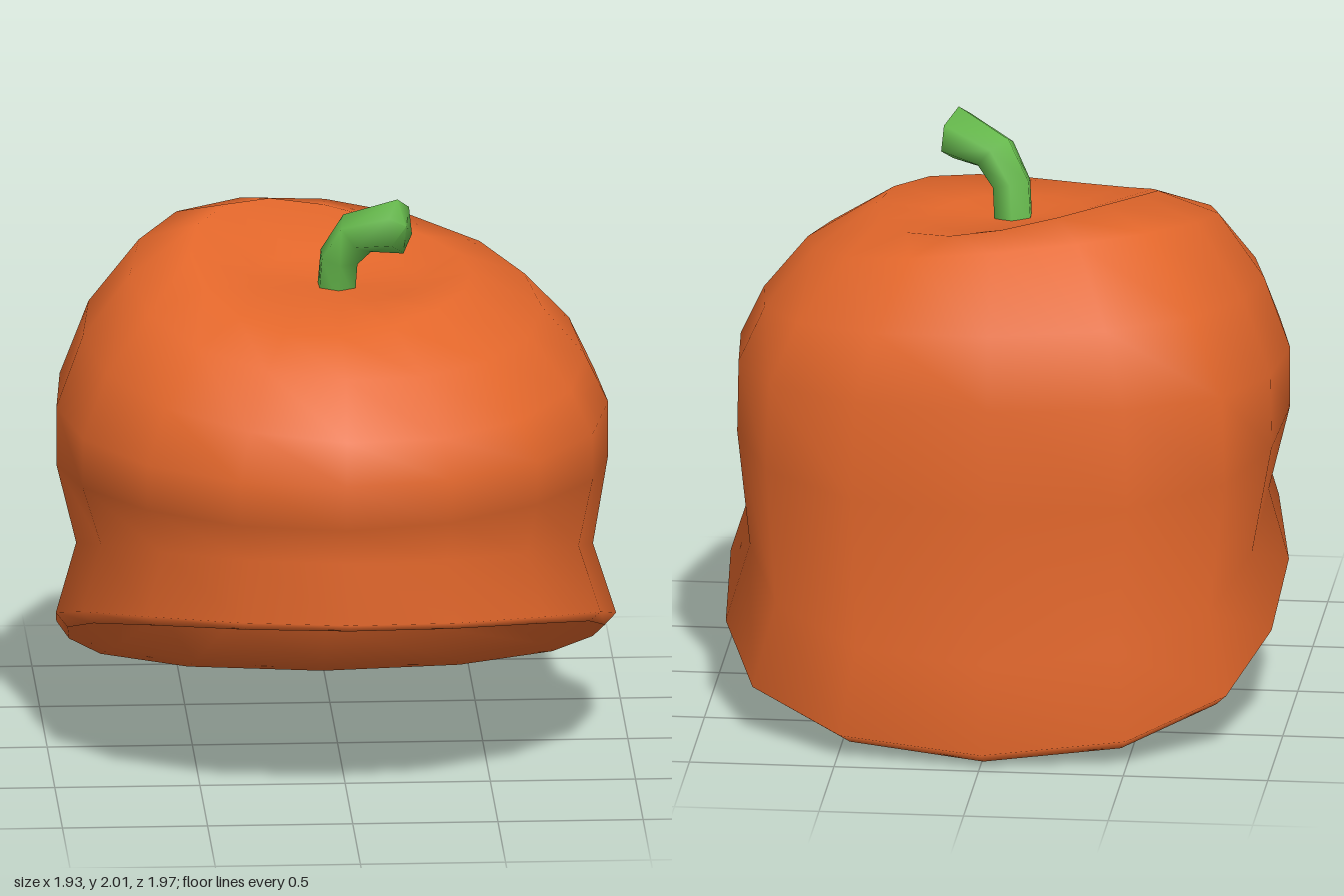
import * as THREE from 'three';

// Skins a list of closed rings of points with smooth normals
function loft(rings) {
  const n = rings[0].length, pos = [], index = [];
  rings.forEach(ring => ring.forEach(p => pos.push(p.x, p.y, p.z)));
  for (let i = 0; i < rings.length - 1; i++) {
    for (let j = 0; j < n; j++) {
      const k = (j + 1) % n, a = i * n + j, b = i * n + k;
      index.push(a, b, a + n, b, b + n, a + n);
    }
  }
  const geo = new THREE.BufferGeometry();
  geo.setAttribute('position', new THREE.Float32BufferAttribute(pos, 3));
  geo.setIndex(index);
  geo.computeVertexNormals();
  return geo;
}

// Tilted oval ring through its front, back, -x and +x extremes;
// full squares off the back corners, twist lifts the back left over the back right
function ovalRing([zF, yF, zB, yB, xL, yL, xR, yR, full = 0, twist = 0], sides = 16) {
  const mid = (yL + yR) / 2;
  return Array.from({ length: sides }, (_, j) => {
    const t = j / sides * Math.PI * 2, s = Math.sin(t), c = Math.cos(t);
    const wide = c < 0 ? s * (1 + full * c * c) : s;
    return new THREE.Vector3(
      (xL + xR) / 2 + (xR - xL) / 2 * wide,
      mid + (yR - yL) / 2 * s + (yF - yB) / 2 * c + ((yF + yB) / 2 - mid) * c * c + twist * 2 * s * c,
      (zF + zB) / 2 + (zF - zB) / 2 * c);
  });
}

export function createModel() {
  const group = new THREE.Group();
  const orange = new THREE.MeshStandardMaterial({ color: 0xe3672b });
  orange.name = 'pumpkin orange';
  const green = new THREE.MeshStandardMaterial({ color: 0x67bb4d });
  green.name = 'stem green';
  const add = (name, geo, mat) => {
    const mesh = new THREE.Mesh(geo, mat);
    mesh.name = name;
    group.add(mesh);
  };

  // Hollow shell: down the domed inside, around the rim, up the outside, into the dimple
  const shell = [
    // front z, y, back z, y, -x side x, y, +x side x, y, fullness, twist
    [0.08, 1.06, 0.08, 1.06, 0, 1.06, 0, 1.06],
    [0.59, 1.02, -0.46, 0.75, -0.53, 0.92, 0.52, 0.90, 0.2],
    [0.75, 0.82, -0.66, 0.21, -0.72, 0.57, 0.71, 0.55, 0.3],
    [0.88, 0.69, -0.83, 0.04, -0.89, 0.46, 0.88, 0.45, 0.36],
    [0.90, 0.66, -0.89, 0.00, -0.93, 0.43, 0.92, 0.41, 0.38],
    [0.97, 0.70, -0.98, 0.05, -0.97, 0.48, 0.96, 0.45, 0.40],
    [0.90, 0.90, -0.91, 0.35, -0.90, 0.73, 0.88, 0.70, 0.38],
    [0.97, 1.04, -0.915, 0.90, -0.97, 1.02, 0.93, 1.02, 0.36],
    [0.985, 1.20, -0.91, 1.27, -0.97, 1.23, 0.93, 1.22, 0.33],
    [0.92, 1.34, -0.84, 1.52, -0.88, 1.48, 0.85, 1.39, 0.24],
    [0.77, 1.52, -0.65, 1.76, -0.72, 1.70, 0.70, 1.57, 0.08, 0.015],
    [0.60, 1.63, -0.48, 1.79, -0.51, 1.775, 0.46, 1.70, 0, 0.035],
    [0.30, 1.665, -0.22, 1.69, -0.28, 1.68, 0.28, 1.665],
    [0.05, 1.66, 0.05, 1.66, 0.01, 1.66, 0.01, 1.66],
  ];
  add('pumpkinShell', loft(shell.map(r => ovalRing(r))), orange);

  // Six-sided curved stem: centre, axis direction, radius
  const stem = [
    [[-0.01, 1.62, 0.07], [0, 1, 0.05], 0.072],
    [[0, 1.77, 0.10], [0.2, 1, 0.2], 0.072],
    [[0.06, 1.865, 0.14], [0.7, 0.7, 0.4], 0.08],
    [[0.205, 1.91, 0.22], [0.88, 0.12, 0.46], 0.096],
    [[0.225, 1.912, 0.23], [0.88, 0.12, 0.46], 0],
  ];
  const side = new THREE.Vector3(0.46, 0, -0.88).normalize();
  const stemRings = stem.map(([c, d, r]) => {
    const dir = new THREE.Vector3(...d).normalize();
    const u = side.clone().addScaledVector(dir, -side.dot(dir)).normalize();
    const v = dir.clone().cross(u);
    return Array.from({ length: 6 }, (_, j) => {
      const t = (j + 0.5) / 6 * Math.PI * 2;
      return new THREE.Vector3(...c).addScaledVector(u, r * Math.cos(t)).addScaledVector(v, r * Math.sin(t));
    });
  });
  add('stem', loft(stemRings), green);

  return group;
}
